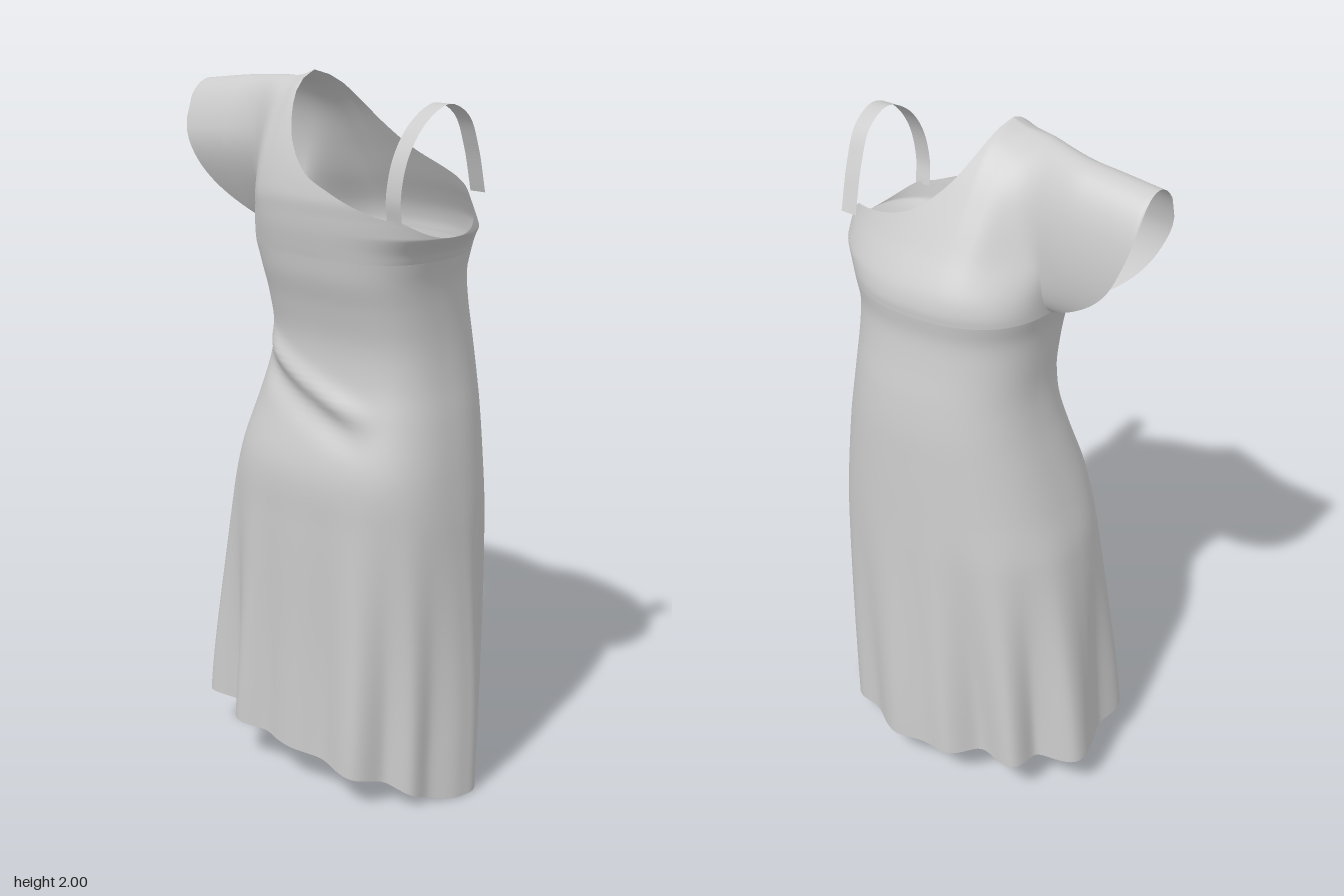
import * as THREE from 'three';
import { mergeGeometries, mergeVertices } from 'three/addons/utils/BufferGeometryUtils.js';

const { lerp, smoothstep } = THREE.MathUtils;
const ARMPIT_Y = 1.54, ARMPIT_X = -0.205, P = 2 / 2.4;

// Smooth lookup in rows of [key, v1, v2, ...], sorted by key
function keyed(rows, k, col = 1) {
  const n = rows.length - 1;
  if (k <= rows[0][0]) return rows[0][col];
  if (k >= rows[n][0]) return rows[n][col];
  let i = 0;
  while (k > rows[i + 1][0]) i++;
  const slope = (j) => {
    const a = rows[Math.max(j - 1, 0)], b = rows[Math.min(j + 1, n)];
    return (b[col] - a[col]) / (b[0] - a[0]);
  };
  const d = rows[i + 1][0] - rows[i][0], t = (k - rows[i][0]) / d, t2 = t * t, t3 = t2 * t;
  return (2 * t3 - 3 * t2 + 1) * rows[i][col] + (t3 - 2 * t2 + t) * d * slope(i)
    + (3 * t2 - 2 * t3) * rows[i + 1][col] + (t3 - t2) * d * slope(i + 1);
}

// Skirt and waist: y, left x, right x, front z, back z
const BODY = [
  [0.0, -0.415, 0.455, 0.285, -0.288], [0.4, -0.372, 0.46, 0.285, -0.285],
  [0.8, -0.315, 0.457, 0.295, -0.283], [0.95, -0.275, 0.446, 0.293, -0.28],
  [1.1, -0.232, 0.425, 0.25, -0.275], [1.2, -0.205, 0.407, 0.225, -0.27],
  [1.3, -0.187, 0.396, 0.22, -0.258], [1.4, -0.185, 0.395, 0.24, -0.24],
  [1.48, -0.19, 0.402, 0.264, -0.23], [1.54, -0.205, 0.418, 0.275, -0.235],
];
// Hem folds around the skirt: angle in degrees, offset outward
const FOLDS = [
  [0, 0.015], [14, -0.018], [28, 0.005], [42, -0.015], [58, 0.04], [74, -0.008], [88, 0.008], [97, -0.006],
  [109, 0.025], [127, -0.03], [143, 0.04], [168, -0.02], [195, 0.025], [214, -0.045], [231, 0.015],
  [247, -0.04], [260, 0.02], [269, 0.012], [278, 0.03], [295, -0.012], [310, 0], [325, -0.012],
  [340, -0.015], [353, 0.022], [360, 0.015],
];
// Bodice: y, middle z, half depth
const CHEST = [
  [1.54, 0.02, 0.255], [1.57, 0.023, 0.258], [1.61, 0.032, 0.256], [1.65, 0.045, 0.247], [1.7, 0.062, 0.232],
  [1.8, 0.08, 0.19], [1.9, 0.092, 0.135], [1.96, 0.102, 0.085], [1.99, 0.108, 0.035], [2.0, 0.11, 0],
];
const UNDERARM = [[1.54, 0], [1.57, 0.018], [1.61, 0.057]];
// Neckline and armhole heights along x
const FRONT_EDGE = [[0, 2], [0.03, 1.9], [0.065, 1.83], [0.13, 1.76], [0.22, 1.72], [0.37, 1.665], [0.42, 1.655], [0.475, 1.61]];
const BACK_EDGE = [[0, 2], [0.03, 1.92], [0.07, 1.855], [0.14, 1.79], [0.22, 1.755], [0.37, 1.715], [0.4, 1.70], [0.475, 1.61]];
// Shoulder ridge and lower rim of the cap sleeve
const RIDGE = [[-0.48, 1.945], [-0.3, 1.965], [-0.12, 1.979], [-0.05, 1.983], [0, 2]];
const SLEEVE_RIM = [[-0.48, 1.9], [-0.475, 1.85], [-0.46, 1.79], [-0.42, 1.7], [-0.37, 1.64], [-0.3, 1.59], [-0.205, 1.54]];

// Grid surface from f(u, v), facing outward
function sheet(nu, nv, f) {
  const pos = [], idx = [];
  for (let j = 0; j <= nv; j++) for (let i = 0; i <= nu; i++) pos.push(...f(i / nu, j / nv));
  for (let j = 0; j < nv; j++) for (let i = 0; i < nu; i++) {
    const a = j * (nu + 1) + i, c = a + nu + 1;
    idx.push(a, c, a + 1, a + 1, c, c + 1);
  }
  const g = new THREE.BufferGeometry();
  g.setAttribute('position', new THREE.Float32BufferAttribute(pos, 3));
  g.setIndex(idx);
  return g;
}

// Rounded-oval coordinates for an angle
function oval(th) {
  const c = Math.cos(th), s = Math.sin(th);
  return [Math.sign(c) * Math.abs(c) ** P, Math.sign(s) * (Math.abs(s) < 1e-6 ? 0 : Math.abs(s) ** P)];
}

// The left flank sits a little forward, more so higher up
const skew = (u, y) => lerp(0.015, 0.052, smoothstep(y, 0.2, 1.5)) * Math.max(0, u) ** 2;

// Flared skirt with growing folds, up to the armpit
function lowerPoint(a, v) {
  const th = a * Math.PI * 2, [u, e] = oval(th);
  const hem = 0.115 - 0.03 * u - 0.085 * Math.max(0, u) ** 6 - 0.02 * Math.max(0, -u) ** 4;
  const y = lerp(hem, ARMPIT_Y, v);
  const [l, r, f, b] = [1, 2, 3, 4].map((c) => keyed(BODY, y, c));
  let x = (l + r) / 2 + u * (r - l) / 2;
  let z = (f + b) / 2 + e * (f - b) / 2 + skew(u, y);
  const fold = keyed(FOLDS, a * 360) * (1 - smoothstep(y, 0.1, 0.95));
  x += Math.cos(th) * fold;
  z += Math.sin(th) * fold;
  // Slanting crease across the front waist
  if (e > 0) {
    const d = y - (1.215 - 0.4 * x + 0.25 * x * x);
    const w = smoothstep(x, -0.17, -0.05) * (1 - smoothstep(x, 0.18, 0.35));
    z += w * (0.018 * Math.exp(-((d / 0.03) ** 2)) - 0.015 * Math.exp(-(((d + 0.065) / 0.04) ** 2)));
  }
  return [x, y, z];
}

// Depth of bodice and sleeve at x, y; side is +1 front, -1 back
function upperZ(x, y, e, side) {
  const top = keyed(RIDGE, x);
  const yy = y + (2 - top) * (y - ARMPIT_Y) / (top - ARMPIT_Y);
  const rise = smoothstep(yy, 1.54, 1.85);
  const sleeve = 0.108 * lerp(0.78, 1, rise) * Math.sqrt(Math.max(0, 1 - ((yy - 1.77) / 0.23) ** 2))
    * (1 - smoothstep(x, -0.15, 0.1));
  const chest = keyed(CHEST, yy, 2) * Math.abs(e) * lerp(1, smoothstep(x, -0.26, -0.04), rise);
  const mid = lerp(lerp(0.02, 0.057, rise), keyed(CHEST, yy, 1), smoothstep(x, -0.3, -0.05));
  return mid + side * (sleeve ** 3 + chest ** 3) ** (1 / 3);
}

const ease = (t) => (1 - Math.cos(Math.PI * t)) / 2;

// Bodice half, from the armpit level up to shoulder, neckline and armhole
function bodicePoint(a, v, side) {
  const th = (side > 0 ? a : 1 + a) * Math.PI, [u, e] = oval(th), k = (u + 1) / 2;
  const x0 = lerp(ARMPIT_X, 0.418, k) + 0.057 * k ** 6;
  const top = x0 <= 0 ? keyed(RIDGE, x0) : keyed(side > 0 ? FRONT_EDGE : BACK_EDGE, x0);
  const y = lerp(ARMPIT_Y, top, ease(v));
  const x = lerp(ARMPIT_X, 0.418, k) + keyed(UNDERARM, y) * k ** 6;
  return [x, y, upperZ(x, y, e, side) + skew(u, y)];
}

// Sleeve half, from the armhole out to the slanted rim
function sleevePoint(a, v, side) {
  const x = lerp(ARMPIT_X, -0.48, side > 0 ? a : 1 - a);
  const y = lerp(keyed(SLEEVE_RIM, x), keyed(RIDGE, x), ease(v));
  return [x, y, upperZ(x, y, 0, side)];
}

// Thin ribbon over the bare shoulder
function strapGeometry() {
  const path = new THREE.CatmullRomCurve3([
    [0.405, 1.65, 0.237], [0.412, 1.72, 0.25], [0.418, 1.82, 0.23], [0.421, 1.9, 0.17], [0.42, 1.94, 0.08],
    [0.416, 1.905, 0.0], [0.406, 1.82, -0.052], [0.39, 1.695, -0.102],
  ].map((p) => new THREE.Vector3(...p)));
  return sheet(4, 48, (a, v) => {
    const p = path.getPoint(v);
    return [p.x + (0.5 - a) * 0.05, p.y, p.z];
  });
}

export function createModel() {
  const group = new THREE.Group();
  const material = new THREE.MeshStandardMaterial({ color: 0xcccccc, side: THREE.DoubleSide });
  const add = (name, geometry) => {
    geometry.computeVertexNormals();
    const mesh = new THREE.Mesh(geometry, material);
    mesh.name = name;
    group.add(mesh);
  };

  const parts = [sheet(240, 90, lowerPoint)];
  for (const side of [1, -1]) {
    parts.push(sheet(120, 36, (a, v) => bodicePoint(a, v, side)));
    parts.push(sheet(36, 36, (a, v) => sleevePoint(a, v, side)));
  }
  add('dressBody', mergeVertices(mergeGeometries(parts), 1e-4));
  add('shoulderStrap', strapGeometry());
  return group;
}
